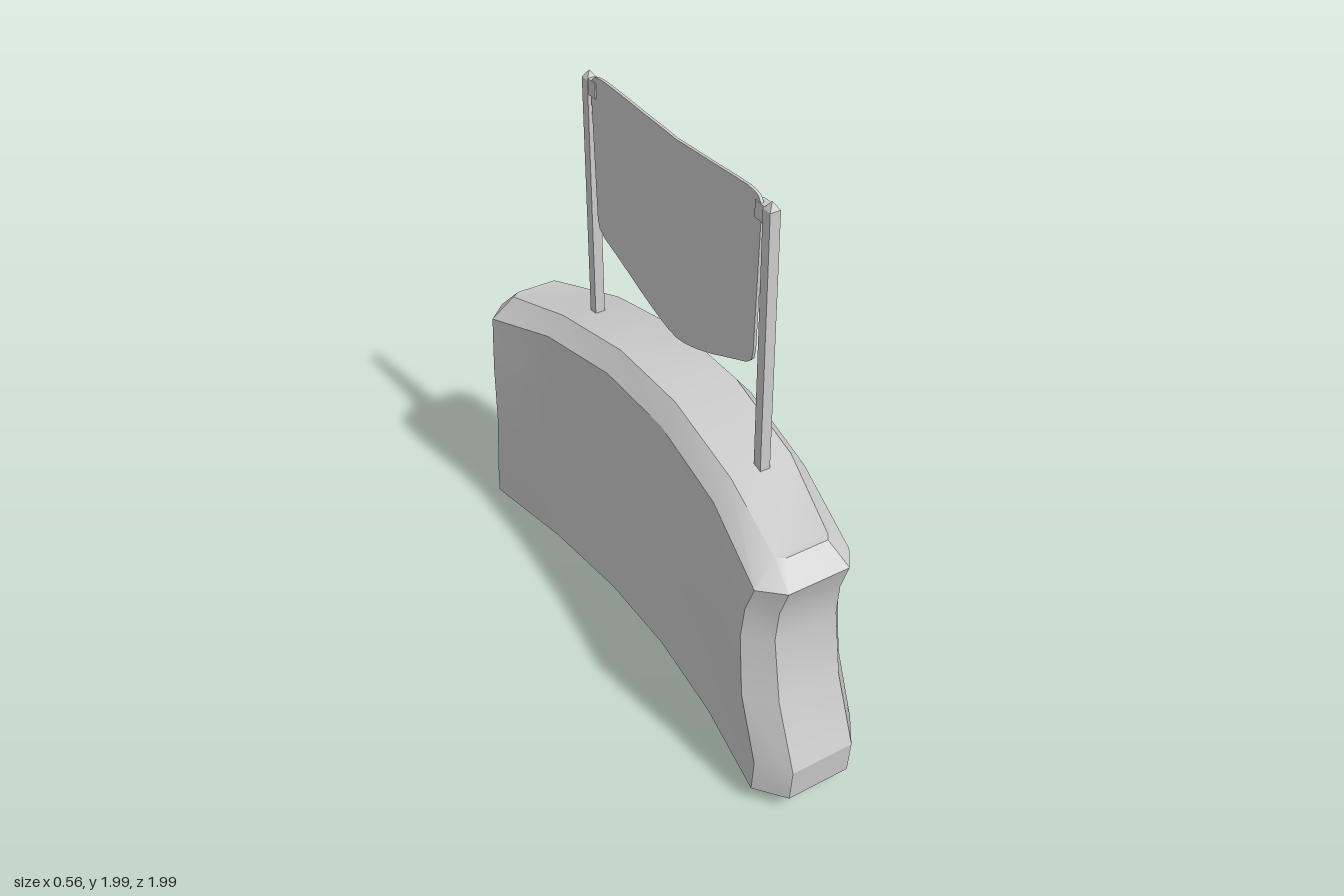
import * as THREE from 'three';
import { toCreasedNormals } from 'three/addons/utils/BufferGeometryUtils.js';

// Linear interpolation through [t, value] pairs
function sample(table, t) {
  for (let i = 1; i < table.length; i++) {
    const [t0, a] = table[i - 1], [t1, b] = table[i];
    if (t <= t1) return a + (b - a) * (t - t0) / (t1 - t0);
  }
  return table[table.length - 1][1];
}

// Plan of half the wall: outer curve, rounded end, inner curve (x, z of the middle stations)
const PLAN_X = [0.28, 0.2, 0.1, 0.03, -0.2, -0.28, -0.215, -0.18];
const LEAN = [1, 0.6, 0.15, 0, 0, 0, 0, 0]; // how far each station leans in with height
const BEVEL = [-0.065, -0.06, -0.07, -0.03, 0.05, 0.1, 0.07, 0.06];
// Each level: y at centre, shoulder and end; end z at +z and -z; lean; bevel; corner depth
const LEVELS = [
  { y: [0, 0, 0], end: [0.91, 0.94], lean: 0, bevel: 0.95, corner: 0.05 },
  { y: [0.07, 0.07, 0.07], end: [0.985, 0.995], lean: 0, bevel: 0, corner: 0.1 },
  { y: [0.2, 0.2, 0.2], end: [0.997, 0.985], lean: 0.005, bevel: 0, corner: 0.1 },
  { y: [0.47, 0.46, 0.44], end: [0.905, 0.945], lean: 0.03, bevel: 0, corner: 0.09 },
  { y: [0.74, 0.72, 0.68], end: [0.868, 0.92], lean: 0.07, bevel: 0, corner: 0.07 },
  { y: [0.9, 0.87, 0.8], end: [0.88, 0.92], lean: 0.09, bevel: 0.05, corner: 0.07 },
  { y: [1.035, 0.99, 0.905], end: [0.918, 0.92], lean: 0.1, bevel: 0.1, corner: 0.07 },
  { y: [1.11, 1.057, 0.97], end: [0.84, 0.87], lean: 0.1, bevel: 1, corner: 0.02 },
];

function wallPoint(level, s, sign) {
  const k = Math.min(s, 7 - s); // 0 centre, 1 shoulder, 2 corner, 3 end
  const end = level.end[sign > 0 ? 0 : 1];
  const z = [0.17, 0.53, end - level.corner, end][k];
  const x = PLAN_X[s] - LEAN[s] * level.lean + BEVEL[s] * level.bevel;
  return [x, level.y[Math.min(k, 2)], sign * z];
}

function wallGeometry() {
  const pos = [], idx = [], N = 16;
  const quad = (a, b, c, d) => idx.push(a, b, c, a, c, d);
  for (const level of LEVELS) {
    for (let s = 0; s < 8; s++) pos.push(...wallPoint(level, s, 1));
    for (let s = 7; s >= 0; s--) pos.push(...wallPoint(level, s, -1));
  }
  for (let l = 0; l < LEVELS.length - 1; l++) {
    for (let i = 0; i < N; i++) {
      const a = l * N + i, b = l * N + (i + 1) % N;
      quad(a, a + N, b + N, b);
    }
  }
  // top and bottom strips
  const cap = (o, up) => {
    const q = (a, b, c, d) => up ? quad(o + a, o + b, o + c, o + d) : quad(o + d, o + c, o + b, o + a);
    q(0, 15, 8, 7);
    for (let j = 0; j < 3; j++) {
      q(j, 7 - j, 6 - j, j + 1);
      q(15 - j, 14 - j, 9 + j, 8 + j);
    }
  };
  cap(0, false);
  cap((LEVELS.length - 1) * N, true);
  const g = new THREE.BufferGeometry();
  g.setAttribute('position', new THREE.Float32BufferAttribute(pos, 3));
  g.setIndex(idx);
  return toCreasedNormals(g, 0.42);
}

// Hanging cloth: a thin box whose edges follow the sagging top and pointed bottom
function clothGeometry() {
  const top = [[0, 1.95], [0.4, 1.962], [0.85, 1.983], [0.95, 1.98], [1, 1.955]];
  const bottom = [[0, 1.238], [0.1, 1.243], [0.25, 1.262], [0.45, 1.298], [0.92, 1.4], [0.98, 1.425], [1, 1.46]];
  const g = new THREE.BoxGeometry(0.01, 1, 2, 1, 6, 32);
  const p = g.attributes.position;
  for (let i = 0; i < p.count; i++) {
    const u = Math.sin(p.getZ(i) * Math.PI / 2), v = p.getY(i) + 0.5, a = Math.abs(u);
    const y = THREE.MathUtils.lerp(sample(bottom, a), sample(top, a) + 0.006 * u, v);
    const half = 0.46 + 0.018 * v;
    p.setXYZ(i, p.getX(i) - 0.018 - 0.02 * u * u, y, 0.022 + u * half);
  }
  return toCreasedNormals(g, 0.6);
}

export function createModel() {
  const group = new THREE.Group();
  const material = new THREE.MeshStandardMaterial({ color: 0xcccccc });
  const flat = new THREE.MeshStandardMaterial({ color: 0xcccccc, flatShading: true });
  const add = (name, geometry, mat, x = 0, y = 0, z = 0) => {
    const m = new THREE.Mesh(geometry, mat);
    m.name = name;
    m.position.set(x, y, z);
    group.add(m);
    return m;
  };

  add('curvedWall', wallGeometry(), material);
  add('hangingCloth', clothGeometry(), material);

  // Two square posts with pointed tips and small brackets holding the cloth
  for (const [side, z, dir, drop] of [['front', 0.53, -1, 0], ['back', -0.485, 1, 0.01]]) {
    add(side + 'Post', new THREE.BoxGeometry(0.036, 0.93, 0.036), flat, -0.03, 1.495 - drop, z);
    const tip = new THREE.ConeGeometry(0.018 * Math.SQRT2, 0.026, 4, 1).rotateY(Math.PI / 4);
    add(side + 'PostTip', tip, flat, -0.03, 1.973 - drop, z);
    add(side + 'Bracket', new THREE.BoxGeometry(0.03, 0.055, 0.045), flat, -0.03, 1.938 - drop, z + dir * 0.038);
  }
  return group;
}
